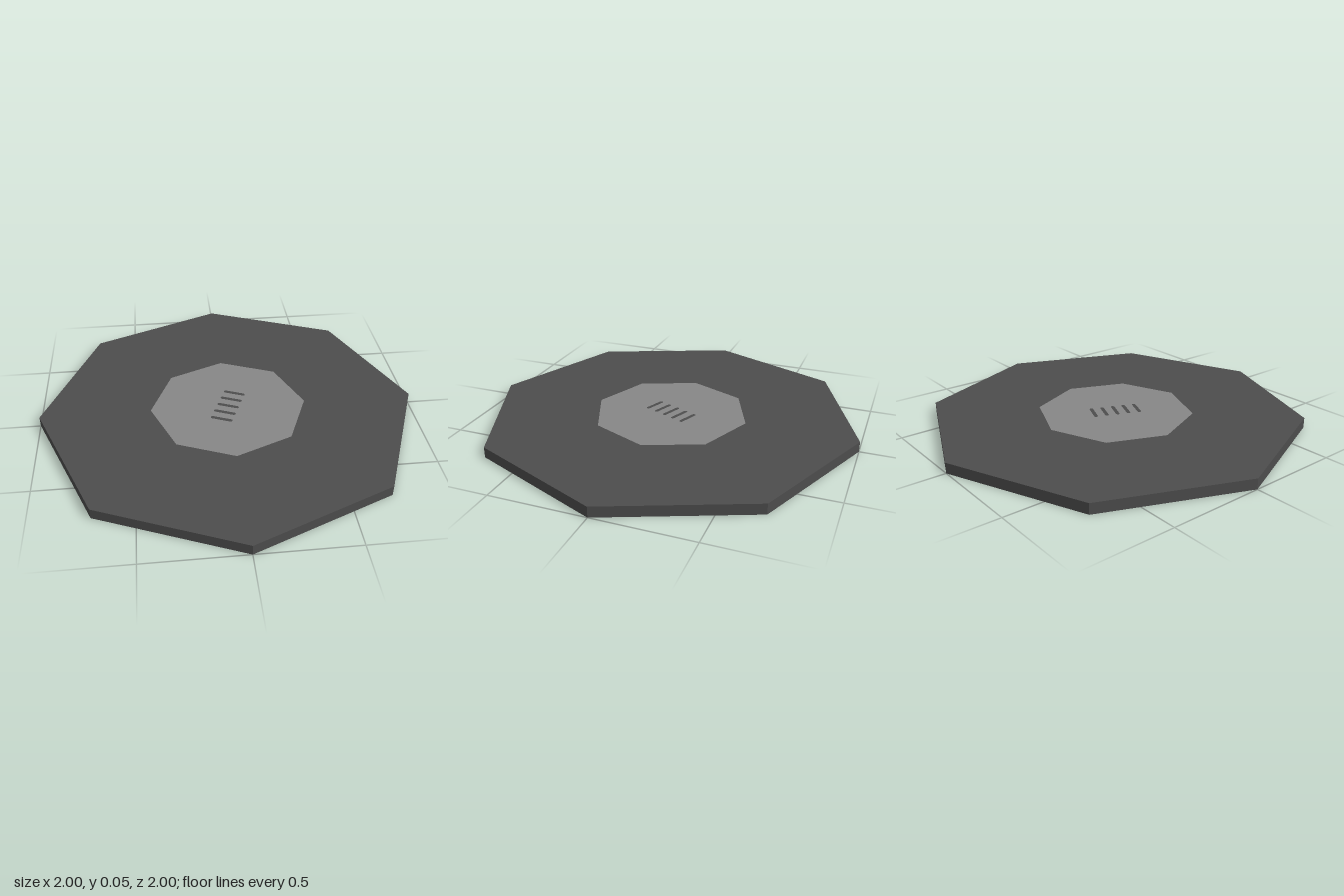
import * as THREE from 'three';

const HEIGHT = 0.055;
const TILT = Math.PI / 8;

// Octagon with its corners on the axes
function octagon(radius) {
  const points = [];
  for (let i = 0; i < 8; i++) {
    const a = (i * Math.PI) / 4;
    points.push(new THREE.Vector2(radius * Math.cos(a), radius * Math.sin(a)));
  }
  return new THREE.Shape(points);
}

// Round-ended slot lying along the tilt, shifted across it by offset
function slot(offset, length, width) {
  const r = width / 2, half = length / 2 - r;
  const centre = new THREE.Vector2();
  const points = [];
  for (const side of [1, -1]) {
    for (let i = 0; i <= 6; i++) {
      const a = -Math.PI / 2 + (i * Math.PI) / 6;
      points.push(new THREE.Vector2(
        side * (half + r * Math.cos(a)), offset + side * r * Math.sin(a)
      ).rotateAround(centre, -TILT));
    }
  }
  return new THREE.Shape(points);
}

// Flat slab of full thickness, laid on the ground
function slab(name, shape, color) {
  const geometry = new THREE.ExtrudeGeometry(shape, { depth: HEIGHT, bevelEnabled: false });
  geometry.rotateX(-Math.PI / 2);
  const mesh = new THREE.Mesh(geometry, new THREE.MeshStandardMaterial({ color, flatShading: true }));
  mesh.name = name;
  return mesh;
}

export function createModel() {
  const group = new THREE.Group();
  group.name = 'octagonalPlate';
  const dark = 0x4d4d4d, light = 0x878787;

  // Dark outer ring
  const ring = octagon(1);
  ring.holes.push(octagon(0.415));
  group.add(slab('outerRing', ring, dark));

  // Lighter core with five flush dark slots
  const core = octagon(0.415);
  for (let i = -2; i <= 2; i++) {
    const shape = slot(i * 0.06, 0.12, 0.02);
    core.holes.push(shape);
    group.add(slab('slotInlay', shape, dark));
  }
  group.add(slab('core', core, light));

  return group;
}
